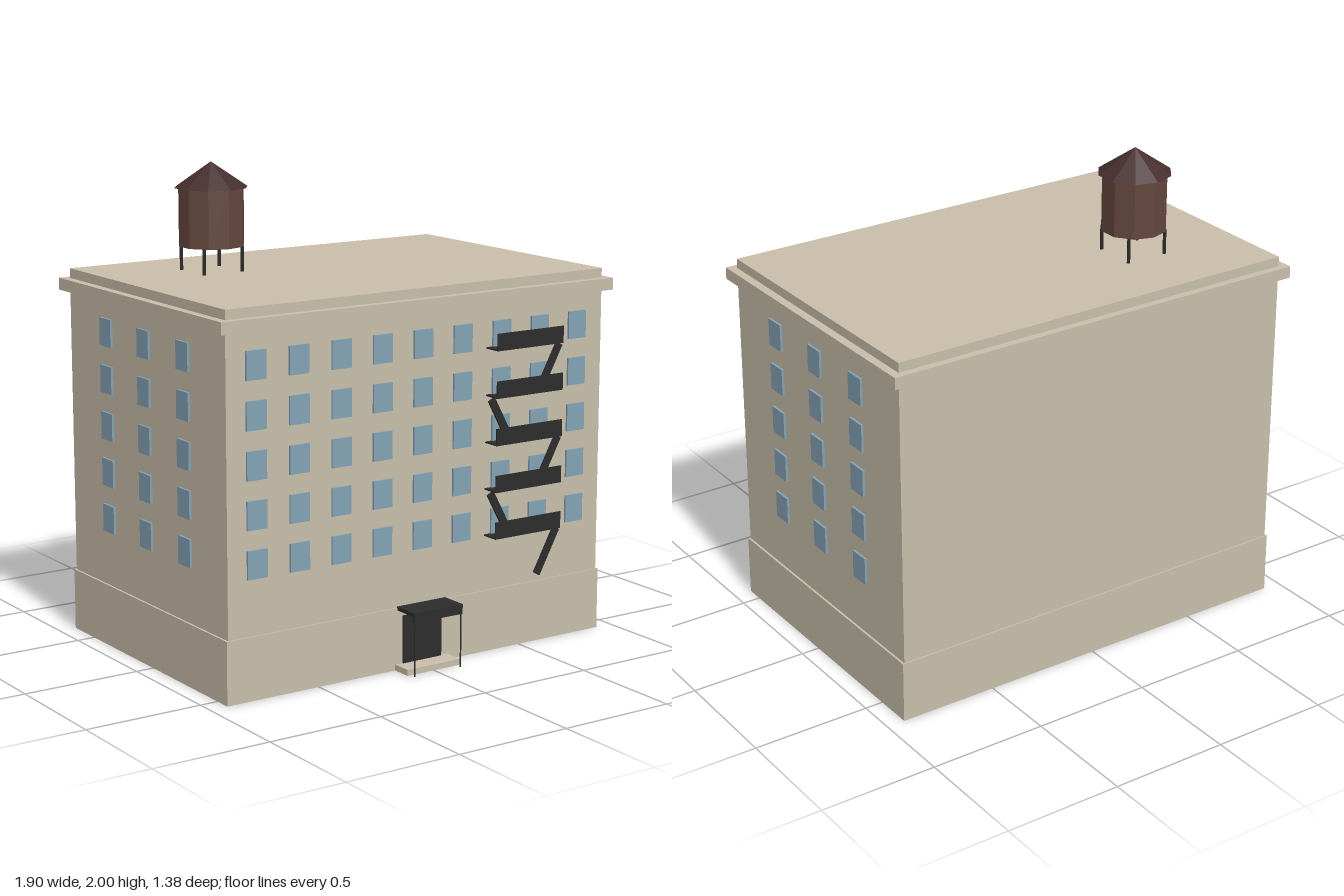
import * as THREE from 'three';

const mat = (name, color, flatShading = false) => {
  const m = new THREE.MeshStandardMaterial({ color, flatShading });
  m.name = name;
  return m;
};

export function createModel() {
  const stone = mat('stone', 0xc8bea9);
  const glass = mat('window glass', 0x82a3b5);
  const iron = mat('dark iron', 0x2c2c2c);
  const wood = mat('tank wood', 0x64473d, true);
  const shingle = mat('tank roof', 0x452d2d, true);

  const model = new THREE.Group();
  model.name = 'apartmentBlock';
  const group = (name) => {
    const g = new THREE.Group();
    g.name = name;
    model.add(g);
    return g;
  };
  const add = (parent, name, geometry, material, x, y, z) => {
    const mesh = new THREE.Mesh(geometry, material);
    mesh.name = name;
    mesh.position.set(x, y, z);
    parent.add(mesh);
    return mesh;
  };
  // Box given by its extents on each axis
  const box = (parent, name, material, [x0, x1], [y0, y1], [z0, z1]) =>
    add(parent, name, new THREE.BoxGeometry(x1 - x0, y1 - y0, z1 - z0), material,
      (x0 + x1) / 2, (y0 + y1) / 2, (z0 + z1) / 2);

  // Stacked masonry: base, walls, cornice, roof parapet
  const midZ = -0.045, wallX = 0.914, wallZ = 0.614;
  const front = midZ + wallZ;
  const building = group('building');
  const tier = (name, y0, y1, out, outZ = out) =>
    box(building, name, stone, [-wallX - out, wallX + out], [y0, y1],
      [midZ - wallZ - outZ, midZ + wallZ + outZ]);
  tier('base', 0, 0.26, 0.009, 0.005);
  tier('walls', 0.26, 1.46, 0);
  tier('cornice', 1.46, 1.51, 0.036, 0.031);
  tier('parapet', 1.51, 1.55, 0);

  // Windows: nine columns in front, three on each side
  const windows = group('windows');
  const frontPane = new THREE.BoxGeometry(0.09, 0.115, 0.018);
  const sidePane = new THREE.BoxGeometry(0.018, 0.115, 0.09);
  for (let row = 0; row < 5; row++) {
    const y = 0.547 + row * 0.195;
    for (let col = -4; col <= 4; col++)
      add(windows, 'frontWindow', frontPane, glass, col * 0.1955, y, front);
    for (const side of [-1, 1])
      for (let col = -1; col <= 1; col++)
        add(windows, 'sideWindow', sidePane, glass, side * (wallX + 0.001), y, midZ + col * 0.305);
  }

  // Entrance: step, door, canopy with front lip and two posts
  const entrance = group('entrance');
  box(entrance, 'step', stone, [-0.13, 0.13], [0, 0.025], [0.55, 0.66]);
  box(entrance, 'door', iron, [-0.095, 0.095], [0.025, 0.225], [0.56, 0.581]);
  box(entrance, 'canopy', iron, [-0.12, 0.12], [0.25, 0.265], [0.56, 0.69]);
  box(entrance, 'canopyLip', iron, [-0.12, 0.12], [0.225, 0.265], [0.68, 0.69]);
  for (const x of [-0.114, 0.114])
    add(entrance, 'canopyPost', new THREE.CylinderGeometry(0.003, 0.003, 0.23, 6), iron, x, 0.115, 0.686);

  // Fire escape: platforms with railings, ladders alternating sides
  const escape = group('fireEscape');
  for (let i = 0; i < 5; i++) {
    const y = 0.493 + i * 0.195;
    const side = i % 2 ? -1 : 1;
    box(escape, 'platform', iron, [0.317, 0.655], [y, y + 0.006], [0.56, 0.645]);
    box(escape, 'railing', iron, [0.317, 0.655], [y, y + 0.071], [0.64, 0.645]);
    const ladder = add(escape, 'ladder', new THREE.BoxGeometry(0.034, 0.209, 0.008), iron,
      0.486 + side * 0.123, y - 0.098, 0.611);
    ladder.rotation.z = -side * Math.atan2(0.1, 0.183);
  }

  // Rooftop water tank on four legs
  const tank = group('waterTank');
  tank.position.set(-0.46, 0, -0.275);
  add(tank, 'barrel', new THREE.CylinderGeometry(0.137, 0.137, 0.24, 10), wood, 0, 1.775, 0);
  add(tank, 'tankRoof', new THREE.ConeGeometry(0.153, 0.105, 10), shingle, 0, 1.9475, 0);
  for (const x of [-0.091, 0.091])
    for (const z of [-0.091, 0.091])
      add(tank, 'tankLeg', new THREE.CylinderGeometry(0.007, 0.007, 0.11, 6), iron, x, 1.602, z);

  return model;
}
